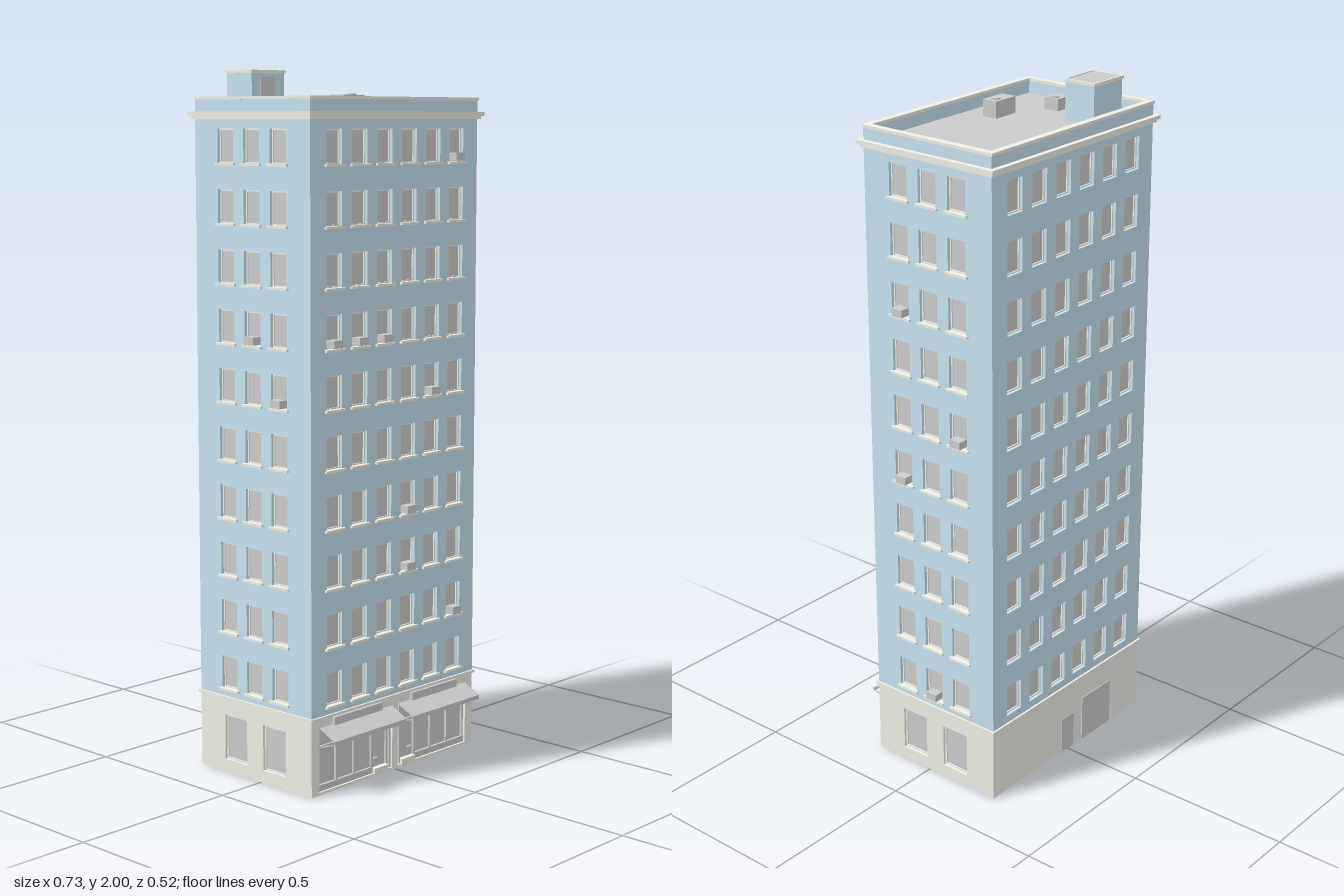
import * as THREE from 'three';

const mat = (color) => new THREE.MeshStandardMaterial({ color, side: THREE.DoubleSide, flatShading: true });
const BLUE = mat(0xc6e3f1), STONE = mat(0xf0efe6), GREY = mat(0xcccccc);

// Body footprint, in metres of the model
const HX = 0.348, ZF = 0.2, ZB = -0.245, ZC = (ZF + ZB) / 2, HZ = (ZF - ZB) / 2;
const BASE = 0.225, EAVE = 1.884, REVEAL = 0.014;
const ROWS = 10, ROW_TOP = 1.746, PITCH = 0.1663, COL = 0.102;
const WIN_W = 0.062, WIN_H = 0.094;

function add(parent, name, geo, material, x = 0, y = 0, z = 0) {
  const m = new THREE.Mesh(geo, material);
  m.name = name;
  m.position.set(x, y, z);
  parent.add(m);
  return m;
}

// Box given by its min and max on each axis
function box(parent, name, material, x0, x1, y0, y1, z0, z1) {
  return add(parent, name, new THREE.BoxGeometry(x1 - x0, y1 - y0, z1 - z0), material,
    (x0 + x1) / 2, (y0 + y1) / 2, (z0 + z1) / 2);
}

function rectPath(path, x0, x1, y0, y1) {
  path.moveTo(x0, y0); path.lineTo(x1, y0); path.lineTo(x1, y1); path.lineTo(x0, y1); path.closePath();
  return path;
}

// Rectangular slab with rectangular openings [x0, x1, y0, y1]
function slab(outer, openings, depth) {
  const s = rectPath(new THREE.Shape(), ...outer);
  for (const o of openings) s.holes.push(rectPath(new THREE.Path(), ...o));
  return new THREE.ExtrudeGeometry(s, { depth, bevelEnabled: false });
}

// Horizontal band around a rectangular footprint
function ring(parent, name, material, hx, hz, thick, y0, y1, x = 0, z = ZC) {
  const g = slab([-hx, hx, -hz, hz], [[-hx + thick, hx - thick, -hz + thick, hz - thick]], y1 - y0);
  g.rotateX(-Math.PI / 2);
  return add(parent, name, g, material, x, y0, z);
}

// Shared window pieces
const glassGeo = new THREE.PlaneGeometry(WIN_W, WIN_H);
const frameGeo = slab([-WIN_W / 2, WIN_W / 2, -WIN_H / 2, WIN_H / 2],
  [[-WIN_W / 2 + 0.004, WIN_W / 2 - 0.004, -WIN_H / 2 + 0.004, WIN_H / 2 - 0.004]], 0.004);
const sillGeo = new THREE.BoxGeometry(0.076, 0.007, 0.02);
const coolerGeo = new THREE.BoxGeometry(0.037, 0.022, 0.03);

// One side of the building, drawn facing +z. coolers lists [row from top, column]
function facade(name, halfWidth, cols, sills, coolers, baseOpenings) {
  const g = new THREE.Group();
  g.name = name;
  const openings = [];
  for (let r = 0; r < ROWS; r++) {
    const y = ROW_TOP - r * PITCH;
    for (let c = 0; c < cols; c++) {
      const x = (c - (cols - 1) / 2) * COL;
      openings.push([x - WIN_W / 2, x + WIN_W / 2, y, y + WIN_H]);
      add(g, 'windowGlass', glassGeo, GREY, x, y + WIN_H / 2, -REVEAL + 0.001);
      add(g, 'windowFrame', frameGeo, STONE, x, y + WIN_H / 2, -REVEAL + 0.001);
      if (sills) add(g, 'windowSill', sillGeo, STONE, x, y - 0.003, -0.002);
      if (coolers.some(([cr, cc]) => cr === r && cc === c))
        add(g, 'windowCooler', coolerGeo, GREY, x, y + 0.014, 0.002);
    }
  }
  add(g, 'upperWall', slab([-halfWidth, halfWidth, BASE, EAVE], openings, REVEAL), BLUE, 0, 0, -REVEAL);
  add(g, 'baseWall', slab([-halfWidth, halfWidth, 0, BASE], baseOpenings, REVEAL), STONE, 0, 0, -REVEAL);
  return g;
}

// Shop window, door, awning and sign for the +x half; sx mirrors it
function storefront(sx) {
  const g = new THREE.Group();
  g.name = 'storefront';
  const put = (name, m, x0, x1, ...rest) =>
    box(g, name, m, Math.min(sx * x0, sx * x1), Math.max(sx * x0, sx * x1), ...rest);
  const back = ZF - REVEAL;
  put('shopGlass', GREY, 0.012, 0.317, 0.008, 0.192, back - 0.002, back);
  for (const x of [0.015, 0.028, 0.092, 0.166, 0.24, 0.313])
    put('mullion', GREY, x - 0.003, x + 0.003, 0.008, 0.19, back, back + 0.007);
  put('transom', GREY, 0.012, 0.317, 0.132, 0.138, back, back + 0.007);
  put('bulkhead', GREY, 0.092, 0.317, 0.008, 0.026, back, back + 0.008);
  put('doorHandle', GREY, 0.066, 0.082, 0.047, 0.051, back, back + 0.008);
  put('doorStep', STONE, 0.03, 0.088, 0, 0.022, back, ZF + 0.002);
  put('shopSign', GREY, 0.065, 0.265, 0.193, 0.216, ZF, ZF + 0.01);
  // Sloping awning with a short valance
  const p = new THREE.Shape();
  [[0, 0.194], [0.057, 0.166], [0.057, 0.154], [0.055, 0.154], [0.055, 0.164], [0, 0.191]]
    .forEach(([z, y], i) => (i ? p.lineTo(z, y) : p.moveTo(z, y)));
  const awning = new THREE.ExtrudeGeometry(p, { depth: 0.3, bevelEnabled: false });
  awning.rotateY(-Math.PI / 2);
  add(g, 'awning', awning, GREY, sx > 0 ? 0.314 : -0.014, 0, ZF);
  for (const x of [0.018, 0.31]) {
    const arm = put('awningArm', GREY, x - 0.0015, x + 0.0015, 0.1465, 0.1495, ZF, ZF + 0.058);
    arm.rotation.x = -0.32;
  }
  return g;
}

function roofUnit(name, x0, x1, z0, z1, top, fx, fz) {
  const g = new THREE.Group();
  g.name = name;
  box(g, 'unitCase', GREY, x0, x1, EAVE, top, z0, z1);
  box(g, 'unitVent', GREY, x0 + 0.006, x0 + 0.038, EAVE + 0.01, top - 0.01, z1, z1 + 0.002);
  add(g, 'unitFan', new THREE.CylinderGeometry(0.014, 0.014, 0.004, 16), GREY, fx, top + 0.002, fz);
  return g;
}

export function createModel() {
  const model = new THREE.Group();
  model.name = 'apartmentBlock';

  // Four sides
  const front = facade('frontSide', HX, 6, true,
    [[0, 5], [3, 0], [3, 1], [3, 2], [4, 4], [6, 3], [7, 3], [8, 5]],
    [[-0.317, -0.012, 0.008, 0.19], [0.012, 0.317, 0.008, 0.19]]);
  front.position.z = ZF;

  const rear = facade('backSide', HX, 6, false, [], []);
  rear.position.z = ZB;
  rear.rotation.y = Math.PI;
  box(rear, 'backDoor', GREY, -0.03, 0.025, 0.002, 0.115, -0.002, 0.002);
  box(rear, 'serviceDoor', GREY, 0.067, 0.205, 0.002, 0.145, -0.002, 0.003);

  const sideWindows = [-0.078, 0.077].map((x) => [x - 0.045, x + 0.045, 0.037, 0.17]);
  const sides = [
    [1, 'leftSide', [[2, 0], [4, 2], [5, 0], [9, 1]]],
    [-1, 'rightSide', [[3, 1], [4, 2]]],
  ].map(([s, name, coolers]) => {
    const side = facade(name, HZ, 3, true, coolers, sideWindows);
    for (const [x0, x1, y0, y1] of sideWindows) {
      box(side, 'baseWindowGlass', GREY, x0, x1, y0, y1, -REVEAL, -REVEAL + 0.002);
      add(side, 'baseWindowFrame', slab([x0, x1, y0, y1],
        [[x0 + 0.005, x1 - 0.005, y0 + 0.005, y1 - 0.005]], 0.004), STONE, 0, 0, -REVEAL + 0.002);
    }
    side.position.set(s * HX, 0, ZC);
    side.rotation.y = s * Math.PI / 2;
    return side;
  });
  model.add(front, rear, ...sides, storefront(1), storefront(-1));

  // Bands, cornice and parapet
  ring(model, 'baseBand', STONE, HX + 0.006, HZ + 0.006, 0.018, 0.218, 0.226);
  ring(model, 'corniceLower', STONE, HX + 0.008, HZ + 0.008, 0.018, 1.866, 1.875);
  ring(model, 'cornice', STONE, HX + 0.015, HZ + 0.015, 0.025, 1.875, 1.886);
  ring(model, 'parapet', BLUE, HX, HZ, 0.016, EAVE, 1.919);
  ring(model, 'parapetCap', STONE, HX + 0.003, HZ + 0.003, 0.02, 1.919, 1.927);

  // Roof deck
  const deck = new THREE.PlaneGeometry(2 * HX - 0.02, 2 * HZ - 0.02).rotateX(-Math.PI / 2);
  add(model, 'roofDeck', deck, GREY, 0, EAVE, ZC);

  // Stair house with its door
  const stair = new THREE.Group();
  stair.name = 'stairHouse';
  box(stair, 'stairWalls', BLUE, -0.284, -0.158, EAVE, 1.994, -0.183, -0.084);
  ring(stair, 'stairRim', STONE, 0.066, 0.0525, 0.005, 1.991, 2, -0.221, -0.1335);
  box(stair, 'stairRoof', GREY, -0.283, -0.159, 1.99, 1.997, -0.182, -0.085);
  box(stair, 'stairDoor', GREY, -0.25, -0.195, EAVE, 1.982, -0.084, -0.082);
  model.add(stair);

  // Roof machinery
  model.add(roofUnit('smallRoofUnit', -0.272, -0.217, -0.012, 0.036, 1.918, -0.233, 0.012));
  model.add(roofUnit('largeRoofUnit', -0.128, -0.044, 0.068, 0.116, 1.932, -0.07, 0.092));
  return model;
}
